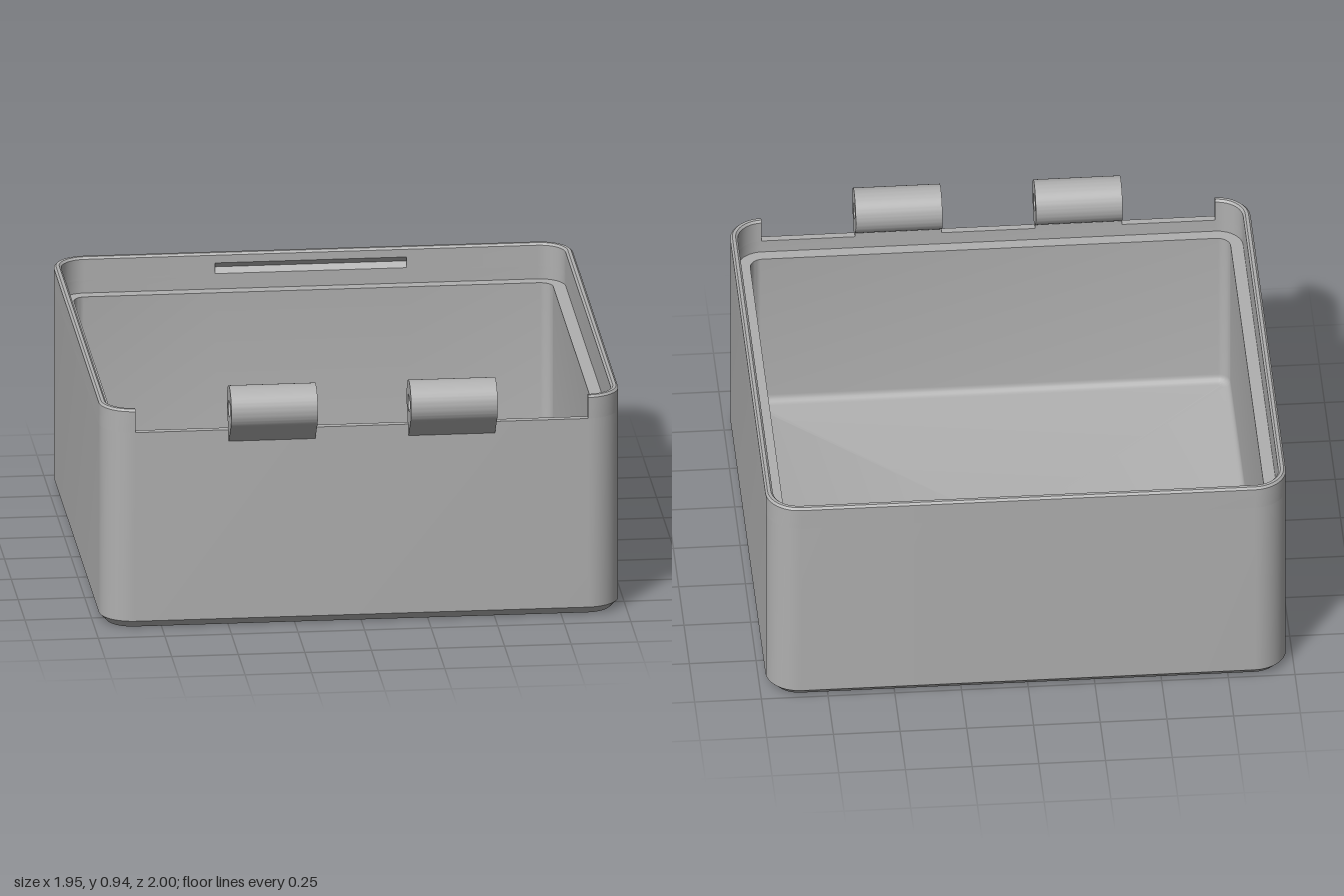
import * as THREE from 'three';
import { toCreasedNormals } from 'three/addons/utils/BufferGeometryUtils.js';

const R = 0.125;                          // outer corner radius
const CX = 0.85, ZF = 0.775, ZB = -0.875; // corner arc centres
const CREASE = Math.PI / 6.5;

// Ring of points from the front right corner, round the back, to the front left.
// inset moves it inwards; grooveInset applies to the middle of the back wall.
function ring(inset, y, grooveInset = inset) {
  const pts = [], n = 10, r = R - inset;
  const corners = [[CX, ZF], [CX, ZB], [-CX, ZB], [-CX, ZF]];
  corners.forEach(([cx, cz], k) => {
    if (k === 2) {
      for (const [x, i] of [[0.36, inset], [0.36, grooveInset], [-0.36, grooveInset], [-0.36, inset]]) {
        pts.push(new THREE.Vector3(x, y, -1 + i));
      }
    }
    for (let s = 0; s <= n; s++) {
      const a = (1 - k - s / n) * Math.PI / 2;
      pts.push(new THREE.Vector3(cx + r * Math.cos(a), y, cz + r * Math.sin(a)));
    }
  });
  return pts;
}

// Skin a list of rings; closed rings wrap round, open ones get end caps.
function loft(rings, closed) {
  const pos = [], e1 = new THREE.Vector3(), e2 = new THREE.Vector3();
  const tri = (a, b, c) => {
    e1.subVectors(b, a);
    e2.subVectors(c, a);
    if (e1.cross(e2).length() > 1e-9) for (const p of [a, b, c]) pos.push(p.x, p.y, p.z);
  };
  const n = rings[0].length;
  for (let j = 0; j < rings.length - 1; j++) {
    for (let i = 0; i < (closed ? n : n - 1); i++) {
      const k = (i + 1) % n, lo = rings[j], hi = rings[j + 1];
      tri(lo[i], lo[k], hi[k]);
      tri(lo[i], hi[k], hi[i]);
    }
  }
  if (!closed) {
    for (let j = 1; j < rings.length - 1; j++) {
      tri(rings[0][0], rings[j][0], rings[j + 1][0]);
      tri(rings[0][n - 1], rings[j + 1][n - 1], rings[j][n - 1]);
    }
  }
  const g = new THREE.BufferGeometry();
  g.setAttribute('position', new THREE.Float32BufferAttribute(pos, 3));
  return toCreasedNormals(g, CREASE);
}

// Knuckle: round barrel with a sloped support and a teardrop pin hole
function knuckleGeometry(width) {
  const x = -0.915, y = 0.86, r = 0.085, h = 0.035;
  const s = new THREE.Shape();
  s.moveTo(-0.9, 0.725);
  s.lineTo(-0.872, 0.765);
  s.lineTo(-0.872, 0.787);
  s.absarc(x, y, r, -1.04, Math.PI * 1.25, false);
  s.closePath();
  const hole = new THREE.Path();
  hole.moveTo(x, y + h * Math.SQRT2);
  hole.absarc(x, y, h, Math.PI * 0.75, Math.PI * 2.25, false);
  hole.closePath();
  s.holes.push(hole);
  const g = new THREE.ExtrudeGeometry(s, { depth: width, bevelEnabled: false, curveSegments: 32 });
  g.translate(0, 0, -width / 2);
  g.rotateY(Math.PI / 2);
  return toCreasedNormals(g, CREASE);
}

export function createModel() {
  const model = new THREE.Group();
  model.name = 'hingedBox';
  const grey = new THREE.MeshStandardMaterial({ color: 0xb0b0b0 });
  grey.name = 'grey';
  const add = (name, geometry, x = 0) => {
    const mesh = new THREE.Mesh(geometry, grey);
    mesh.name = name;
    mesh.position.x = x;
    model.add(mesh);
  };

  // Tray: chamfered base, walls, inner ledge, cavity with a rounded floor edge
  const centre = y => ring(0, y).map(() => new THREE.Vector3(0, y, -0.05));
  const tray = [
    centre(0), ring(0.03, 0), ring(0, 0.03), ring(0, 0.77),
    ring(0.028, 0.77), ring(0.028, 0.72), ring(0.075, 0.72),
  ];
  const floorY = 0.07, fillet = 0.03;
  for (let i = 0; i <= 5; i++) {
    const a = i / 5 * Math.PI / 2;
    tray.push(ring(0.075 + fillet * (1 - Math.cos(a)), floorY + fillet * (1 - Math.sin(a))));
  }
  tray.push(centre(floorY));
  add('tray', loft(tray, true));

  // Rim: thin lip open at the front, with a latch groove inside the back wall
  const rim = [
    ring(0, 0.77), ring(0, 0.852), ring(0.008, 0.86), ring(0.02, 0.86), ring(0.028, 0.852),
    ring(0.028, 0.822), ring(0.028, 0.801, 0.01), ring(0.028, 0.78), ring(0.028, 0.77),
  ];
  add('rim', loft(rim, false));

  // Hinge knuckles
  const knuckle = knuckleGeometry(0.325);
  add('leftHingeKnuckle', knuckle, 0.3375);
  add('rightHingeKnuckle', knuckle, -0.3375);
  return model;
}
